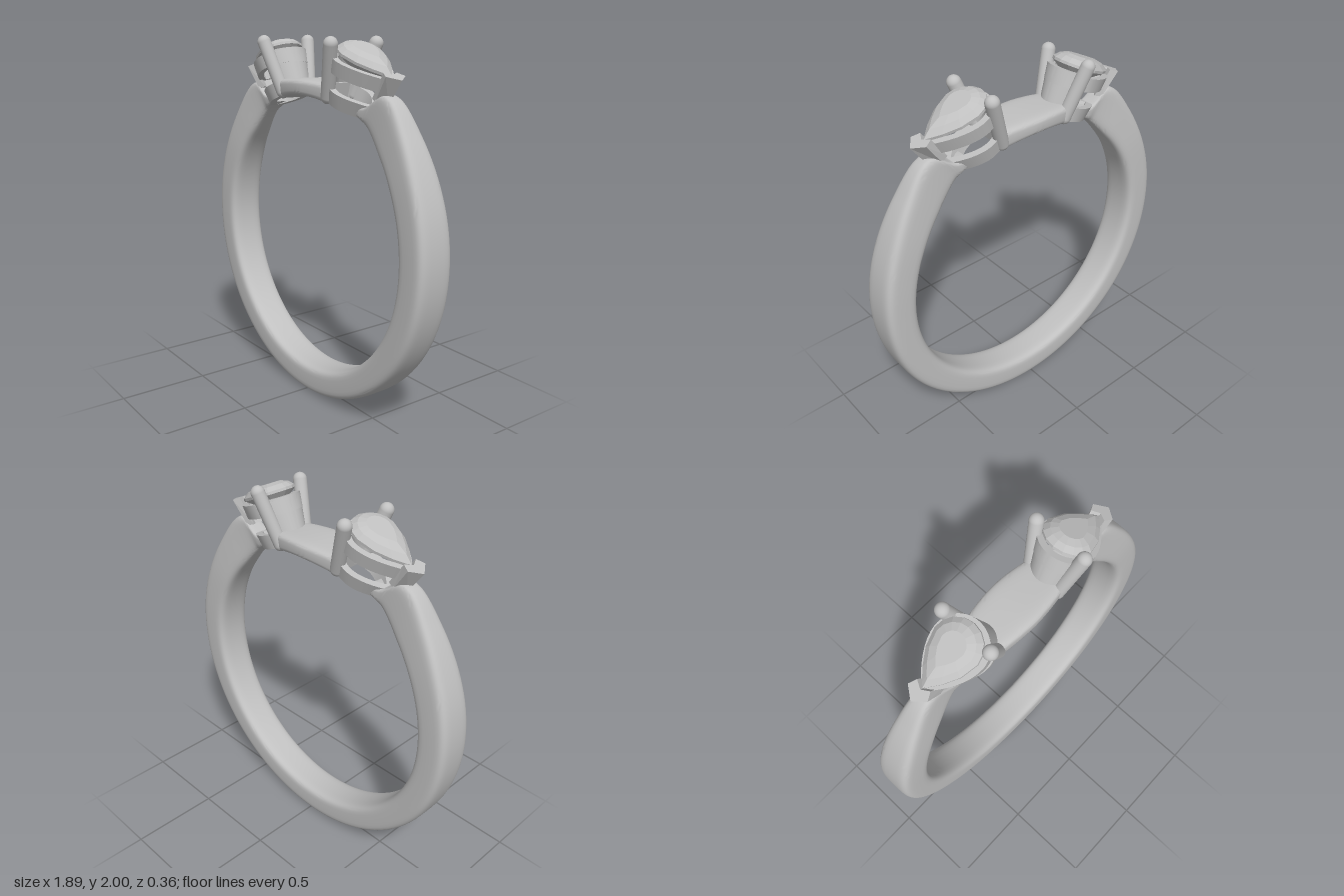
import * as THREE from 'three';
import { toCreasedNormals } from 'three/addons/utils/BufferGeometryUtils.js';

const CENTRE_Y = 0.925; // centre of the finger hole
const rad = THREE.MathUtils.degToRad;

// Skin a list of equal-length point loops; closed surfaces are turned outward.
function loft(loops, { wrap = true, crease = 0.6 } = {}) {
  const n = loops[0].length, pos = loops.flat(2), idx = [];
  for (let i = 0; i < loops.length - 1; i++) {
    for (let j = 0; j < (wrap ? n : n - 1); j++) {
      const a = i * n + j, b = i * n + (j + 1) % n;
      idx.push(a, b, b + n, a, b + n, a + n);
    }
  }
  let volume = 0;
  const p = k => new THREE.Vector3().fromArray(pos, k * 3);
  for (let k = 0; k < idx.length; k += 3) volume += p(idx[k]).dot(p(idx[k + 1]).cross(p(idx[k + 2])));
  if (volume < 0) idx.reverse();
  const g = new THREE.BufferGeometry();
  g.setAttribute('position', new THREE.Float32BufferAttribute(pos, 3));
  g.setIndex(idx);
  return toCreasedNormals(g, crease);
}

// Loop collapsed to its middle, used to close an end.
function cap(loop) {
  const c = [0, 1, 2].map(k => loop.reduce((s, q) => s + q[k], 0) / loop.length);
  return loop.map(() => c);
}

// Rounded band section at an angle, from the inner to the outer radius.
function bandSection(deg, inner, outer, width) {
  const a = rad(deg), soft = v => Math.sign(v) * Math.abs(v) ** 0.42;
  return Array.from({ length: 32 }, (_, i) => {
    const f = (i + 0.5) / 32 * Math.PI * 2;
    const r = (inner + outer) / 2 + (outer - inner) / 2 * soft(Math.cos(f));
    return [r * Math.cos(a), CENTRE_Y + r * Math.sin(a), width * soft(Math.sin(f))];
  });
}

// Sweep the band section through keys of [angle, outer radius, half width].
function band(keys, steps, innerAt) {
  const curve = new THREE.CatmullRomCurve3(keys.map(k => new THREE.Vector3(k[0] / 100, k[1], k[2])));
  const loops = curve.getPoints(steps).map(q => bandSection(q.x * 100, innerAt(q.x * 100), q.y, q.z));
  return loft([cap(loops[0]), ...loops, cap(loops.at(-1))]);
}

// Pear outline: round towards -x, pointed at +x.
function pear(y, width, back, tip, n = 48, from = 0, to = Math.PI * 2, closed = true) {
  return Array.from({ length: n }, (_, i) => {
    const f = from + (to - from) * i / (closed ? n : n - 1), c = Math.cos(f), s = Math.sin(f);
    return c > 1e-6
      ? [tip * c, y, Math.sign(s) * width * (1 - c ** 1.8)]
      : [back * c, y, width * s];
  });
}

// Pear-shaped rail between two heights.
function rail(y0, w0, b0, t0, y1, w1, b1, t1, wall) {
  const l = [
    pear(y0, w0, b0, t0), pear(y1, w1, b1, t1),
    pear(y1, w1 - wall, b1 - wall, t1 - wall * 1.4), pear(y0, w0 - wall, b0 - wall, t0 - wall * 1.4),
  ];
  return loft([...l, l[0]]);
}

// Curved wall closing the round end between the two prongs.
function roundWall() {
  const arc = (y, w, b) => pear(y, w, b, 0, 24, rad(122), rad(238), false);
  const l = [arc(-0.25, 0.108, 0.15), arc(-0.003, 0.15, 0.145), arc(-0.003, 0.115, 0.11), arc(-0.25, 0.072, 0.112)];
  return loft([...l, l[0]], { wrap: false });
}

// Faceted pear stone: culet, pavilion, girdle, crown and table.
function stone() {
  const n = 16, ring = (y, k, dx = 0) => pear(y, 0.13 * k, 0.128 * k, 0.24 * k, n).map(([x, h, z]) => [x + dx, h, z]);
  const point = (x, y) => Array.from({ length: n }, () => [x, y, 0]);
  return loft([
    point(0.02, -0.075), ring(-0.045, 0.6), ring(-0.006, 1), ring(0.008, 1),
    ring(0.032, 0.8), ring(0.047, 0.5), point(0.02, 0.047),
  ], { crease: 0.01 });
}

export function createModel() {
  const silver = new THREE.MeshStandardMaterial({ color: 0xc0c0c0 });
  silver.name = 'silver grey';
  const model = new THREE.Group();
  model.name = 'ring';
  const add = (parent, name, geometry) => {
    const m = new THREE.Mesh(geometry, silver);
    m.name = name;
    parent.add(m);
    return m;
  };

  // Shank: tapers in width and grows taller towards the settings
  const half = [
    [63, 0.83, 0.06], [58.5, 0.87, 0.055], [54.5, 0.99, 0.05], [51, 1.008, 0.055], [40, 0.983, 0.076],
    [28, 0.963, 0.094], [14, 0.952, 0.103], [0, 0.945, 0.106], [-30, 0.937, 0.106], [-60, 0.928, 0.105],
  ];
  const keys = [...half, [-90, 0.925, 0.104], ...half.map(k => [-180 - k[0], k[1], k[2]]).reverse()];
  const flare = a => 0.767 + 0.026 * THREE.MathUtils.smoothstep(Math.abs(a + 90), 130, 153);
  add(model, 'shank', band(keys, 180, flare));

  // Bridge between the two settings
  add(model, 'bridge', band([
    [75.5, 0.872, 0.115], [79, 0.865, 0.124], [84, 0.859, 0.133], [90, 0.857, 0.138],
    [96, 0.859, 0.133], [101, 0.865, 0.124], [104.5, 0.872, 0.115],
  ], 32, () => 0.767));

  // Geometries shared by both settings
  const upperRail = rail(-0.085, 0.14, 0.147, 0.245, -0.012, 0.15, 0.145, 0.26, 0.035);
  const lowerRail = rail(-0.255, 0.106, 0.15, 0.18, -0.177, 0.123, 0.148, 0.21, 0.038);
  const wall = roundWall();
  const gem = stone();
  const claw = new THREE.Shape([
    [0.318, 0], [0.268, 0.062], [0.225, 0.042], [0.25, 0], [0.225, -0.042], [0.268, -0.062],
  ].map(q => new THREE.Vector2(...q)));
  const clawGeometry = new THREE.ExtrudeGeometry(claw, { depth: 0.15, bevelEnabled: false });
  clawGeometry.rotateX(-Math.PI / 2).translate(0, -0.13, 0);
  // Draw the claw in towards the shank at its foot
  const cp = clawGeometry.attributes.position;
  for (let i = 0; i < cp.count; i++) {
    if (cp.getY(i) < -0.1) cp.setXYZ(i, cp.getX(i) - 0.045, cp.getY(i), cp.getZ(i) * 0.7);
  }
  clawGeometry.computeVertexNormals();

  for (const side of [1, -1]) {
    const turn = new THREE.Group();
    turn.name = side > 0 ? 'leftSetting' : 'rightSetting';
    if (side < 0) turn.rotation.y = Math.PI;
    model.add(turn);
    const setting = new THREE.Group();
    setting.name = 'basket';
    setting.position.set(0.362, 1.894, 0);
    setting.rotation.z = -0.35;
    turn.add(setting);

    add(setting, 'upperRail', upperRail);
    add(setting, 'lowerRail', lowerRail);
    add(setting, 'roundWall', wall);
    add(setting, 'tipClaw', clawGeometry);
    const g = add(setting, 'stone', gem);
    g.position.y = 0.02;
    g.rotation.z = -0.07;

    // Pair of round prongs leaning outwards
    for (const s of [1, -1]) {
      const foot = new THREE.Vector3(-0.08, -0.235, s * 0.088), tip = new THREE.Vector3(-0.08, 0.048, s * 0.145);
      const axis = tip.clone().sub(foot);
      const prong = add(setting, 'prong', new THREE.CapsuleGeometry(0.037, axis.length(), 8, 24));
      prong.position.copy(foot).add(tip).multiplyScalar(0.5);
      prong.quaternion.setFromUnitVectors(new THREE.Vector3(0, 1, 0), axis.normalize());
    }
  }
  return model;
}
